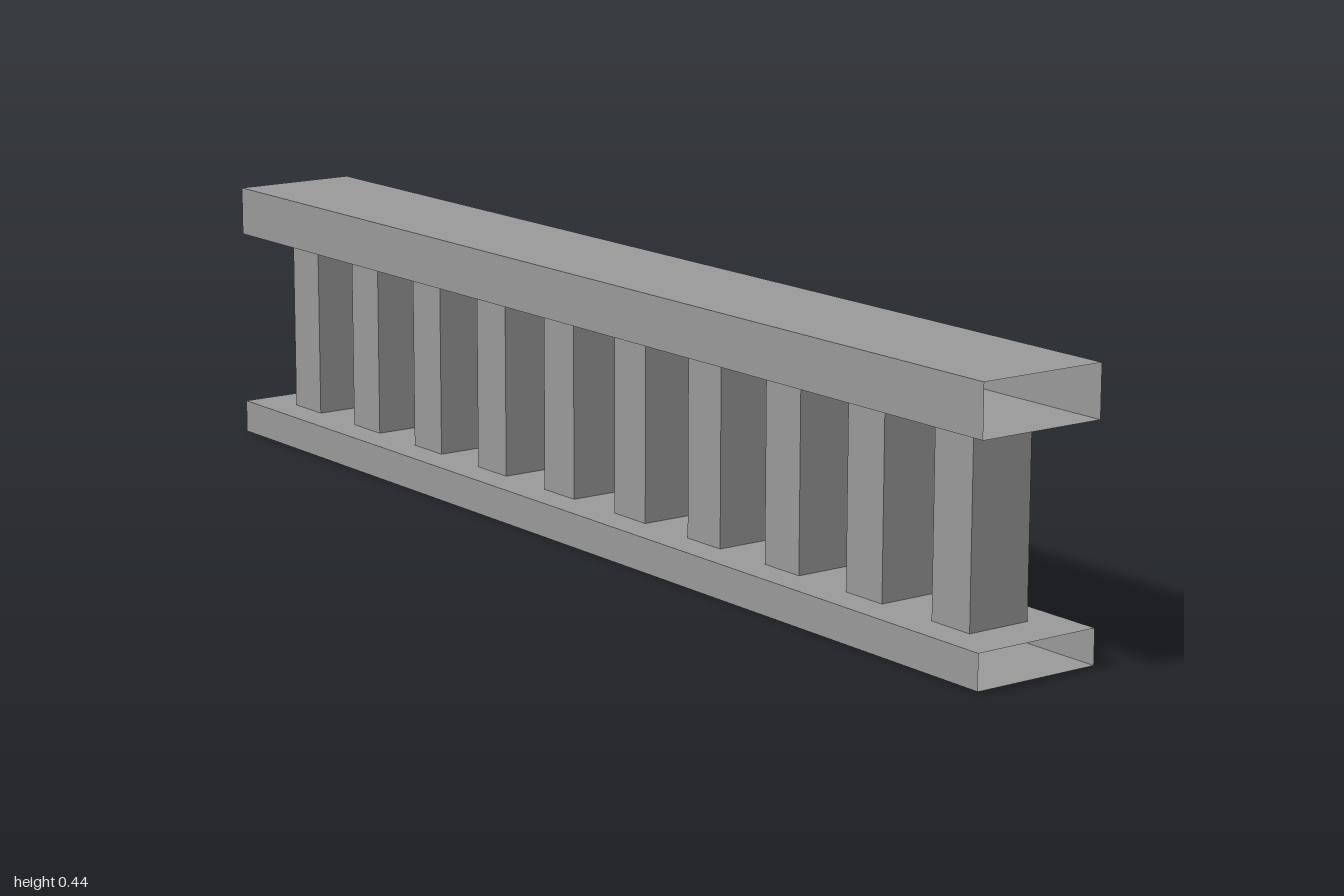
import * as THREE from 'three';

const material = new THREE.MeshStandardMaterial({ color: 0x999999, flatShading: true, side: THREE.DoubleSide });

// Square tube with open ends, one unit in each direction, running along y
function openTube() {
  return new THREE.CylinderGeometry(Math.SQRT1_2, Math.SQRT1_2, 1, 4, 1, true).rotateY(Math.PI / 4);
}

export function createModel() {
  const group = new THREE.Group();
  const length = 2, railWidth = 0.22;
  const bottomTop = 0.056, topBase = 0.362, height = 0.445;

  // Hollow rails along z, open at both ends
  function addRail(name, y0, y1) {
    const geometry = openTube().rotateX(Math.PI / 2).scale(railWidth, y1 - y0, length);
    const rail = new THREE.Mesh(geometry, material);
    rail.name = name;
    rail.position.y = (y0 + y1) / 2;
    group.add(rail);
  }
  addRail('bottomRail', 0, bottomTop);
  addRail('topRail', topBase, height);

  // Evenly spaced square balusters between the rails
  const balusters = new THREE.Group();
  balusters.name = 'balusters';
  const count = 10, pitch = 0.1947;
  const geometry = openTube().scale(0.11, topBase - bottomTop, 0.083);
  for (let i = 0; i < count; i++) {
    const baluster = new THREE.Mesh(geometry, material);
    baluster.name = 'baluster';
    baluster.position.set(0, (topBase + bottomTop) / 2, (i - (count - 1) / 2) * pitch);
    balusters.add(baluster);
  }
  group.add(balusters);

  return group;
}
